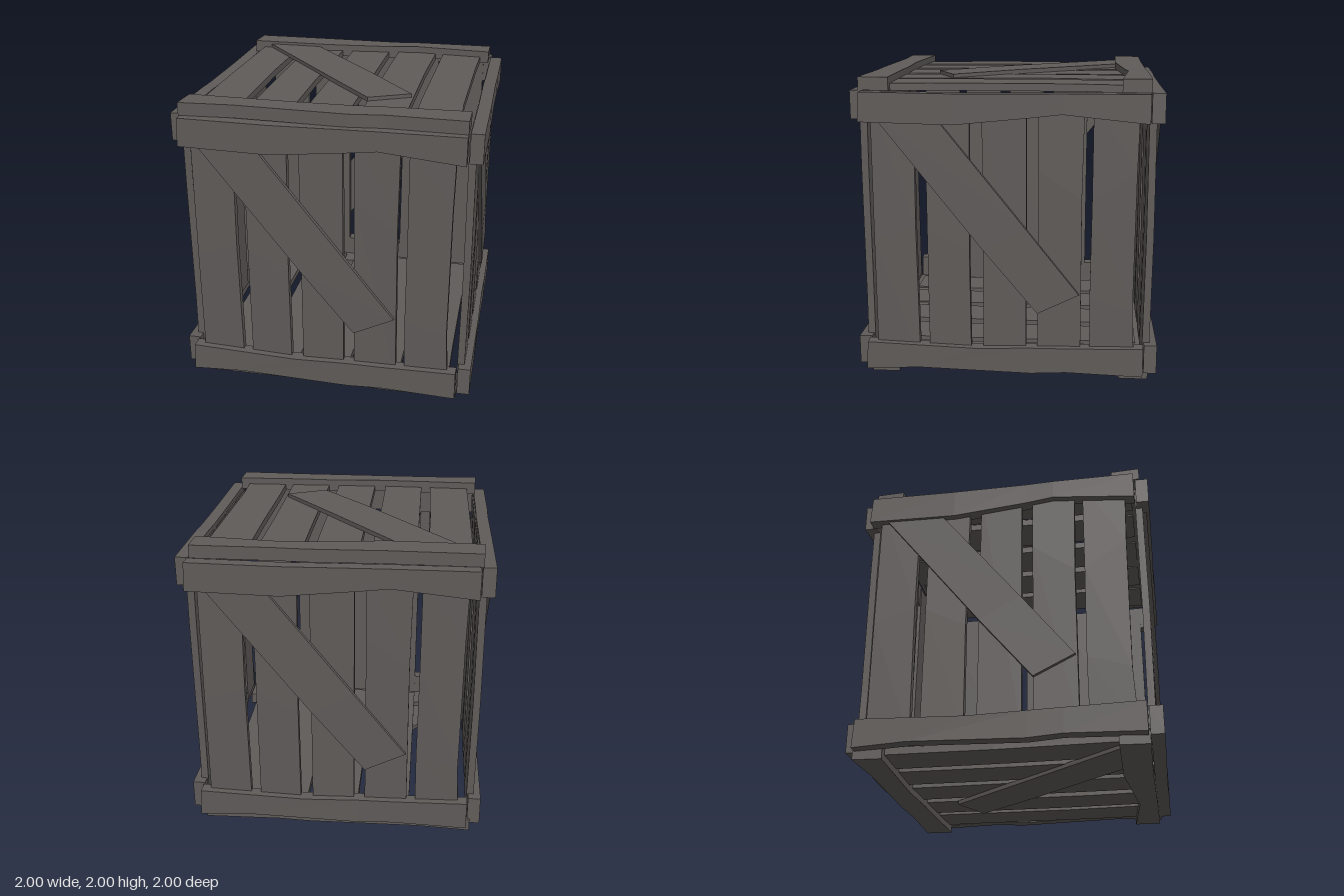
import * as THREE from 'three';

const wood = new THREE.MeshStandardMaterial({ color: 0x5f5b59 });
wood.name = 'weathered wood';

// Plank swept through stations [uA, vA, uB, vB, depthShift], between depths w0 (inner) and w1 (outer).
function plankGeometry(stations, w0, w1) {
  const rings = stations.map(([ua, va, ub, vb, d = 0]) => [
    [ua, va, w1 + d], [ub, vb, w1 + d], [ub, vb, w0 + d], [ua, va, w0 + d],
  ]);
  const pos = [];
  const quad = (a, b, c, d) => pos.push(...a, ...b, ...c, ...a, ...c, ...d);
  for (let i = 0; i < rings.length - 1; i++) {
    for (let k = 0; k < 4; k++) {
      const n = (k + 1) % 4;
      quad(rings[i][k], rings[i + 1][k], rings[i + 1][n], rings[i][n]);
    }
  }
  const [a, b, c, d] = rings[0];
  quad(a, b, c, d);
  const [e, f, g, h] = rings[rings.length - 1];
  quad(h, g, f, e);
  const geo = new THREE.BufferGeometry();
  geo.setAttribute('position', new THREE.Float32BufferAttribute(pos, 3));
  geo.computeVertexNormals();
  return geo;
}

// Upright slats, listed from top to bottom with their slanted bends
const slats = [
  [[-0.86, 0.88, -0.58, 0.88], [-0.86, -0.055, -0.585, 0.04, 0.006], [-0.86, -0.88, -0.575, -0.88]],
  [[-0.51, 0.88, -0.225, 0.88], [-0.51, 0.015, -0.235, -0.125, 0.006], [-0.51, -0.88, -0.23, -0.88]],
  [[-0.148, 0.88, 0.135, 0.88], [-0.148, -0.88, 0.135, -0.88]],
  [[0.21, 0.88, 0.5, 0.88], [0.21, 0.43, 0.49, 0.23, 0.006], [0.21, -0.88, 0.495, -0.88]],
  [[0.555, 0.88, 0.845, 0.88], [0.555, 0.23, 0.835, 0.415, 0.006],
    [0.55, -0.41, 0.83, -0.5, 0.004], [0.555, -0.88, 0.85, -0.88]],
].map((s) => plankGeometry(s, 0.905, 0.953));

// Rails run left to right with a wavy lower or upper edge
const topRail = plankGeometry([
  [-0.932, 0.725, -0.922, 0.915], [-0.33, 0.712, -0.33, 0.908], [0.17, 0.762, 0.17, 0.912, -0.004],
  [0.36, 0.785, 0.36, 0.915], [0.905, 0.73, 0.905, 0.915],
], 0.915, 1);
const bottomRail = plankGeometry([
  [-0.932, -0.945, -0.922, -0.755], [-0.58, -0.925, -0.2, -0.778], [0.17, -0.945, 0.17, -0.766, -0.004],
  [0.4, -0.93, 0.4, -0.762], [0.905, -0.945, 0.905, -0.75],
], 0.915, 1);

// Diagonal brace, bent once and ending short of the lower corner
const brace = plankGeometry([
  [-0.85, 0.78, -0.46, 0.78], [-0.14, -0.11, 0.13, 0.045, 0.004], [0.21, -0.53, 0.48, -0.395],
], 0.95, 0.98);

function createPanel(name) {
  const panel = new THREE.Group();
  panel.name = name;
  const add = (geo, part) => {
    const mesh = new THREE.Mesh(geo, wood);
    mesh.name = part;
    panel.add(mesh);
  };
  slats.forEach((geo, i) => add(geo, `slat${i + 1}`));
  add(topRail, 'topRail');
  add(bottomRail, 'bottomRail');
  add(brace, 'diagonalBrace');
  return panel;
}

export function createModel() {
  const crate = new THREE.Group();
  crate.name = 'crate';
  const q = Math.PI / 2;
  // One panel turned onto each of the six sides
  const sides = [
    ['frontPanel', 0, 0], ['leftPanel', 0, q], ['backPanel', 0, 2 * q],
    ['rightPanel', 0, -q], ['topPanel', -q, 0], ['bottomPanel', q, 0],
  ];
  for (const [name, rx, ry] of sides) {
    const panel = createPanel(name);
    panel.rotation.set(rx, ry, 0);
    panel.position.y = 1;
    crate.add(panel);
  }
  return crate;
}
